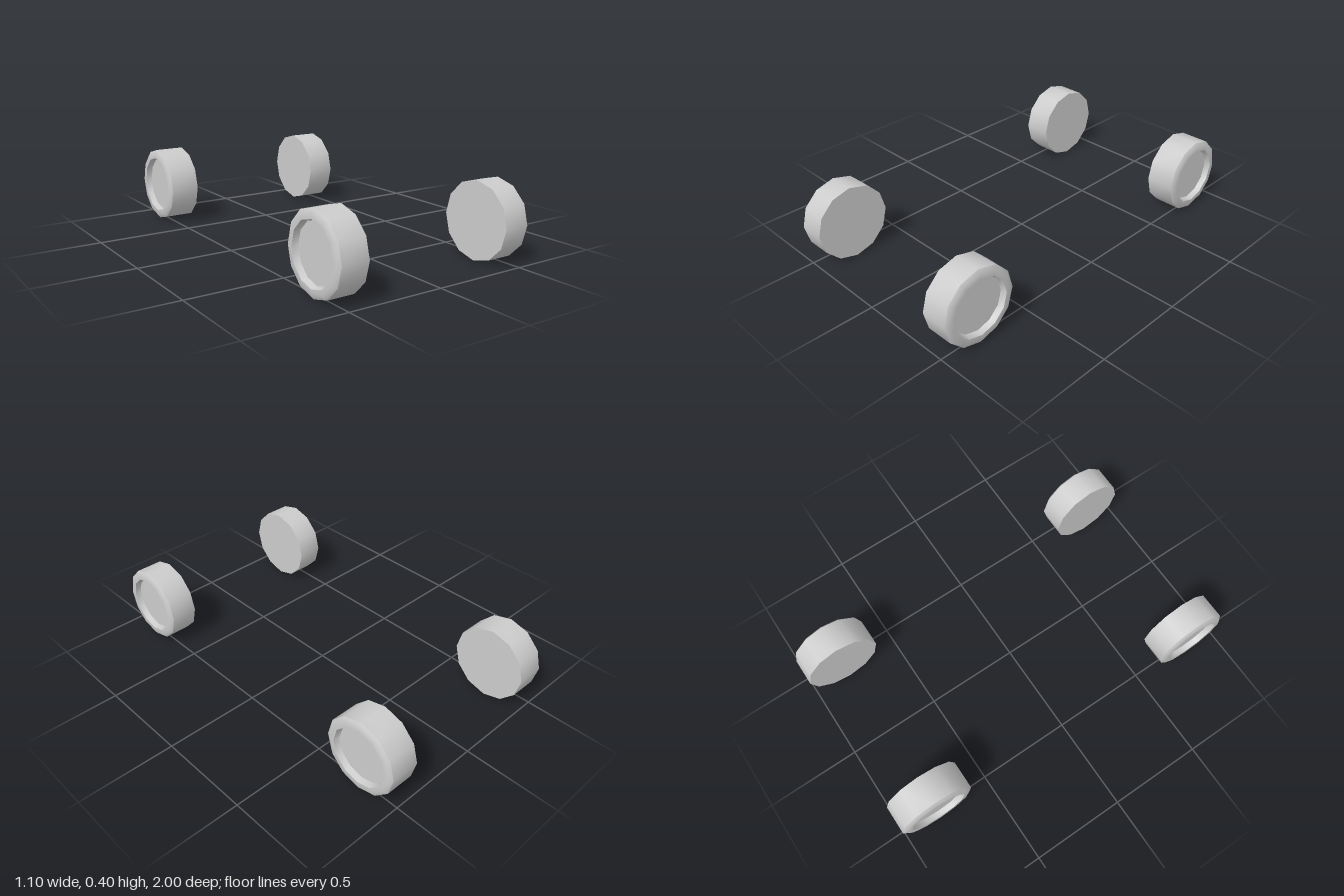
import * as THREE from 'three';
import { toCreasedNormals } from 'three/addons/utils/BufferGeometryUtils.js';

const material = new THREE.MeshStandardMaterial({ color: 0xcccccc });
const RADIUS = 0.2, OUTER = 0.55, SIDES = 12;

// Twelve-sided wheel along +x: flat inner face, bevelled rim, dished hub
function wheelGeometry(inner) {
  const profile = [
    [0, inner], [RADIUS, inner],                // inner face
    [RADIUS, OUTER - 0.012], [0.182, OUTER],    // tread and bevel
    [0.153, OUTER], [0.145, OUTER - 0.03],      // rim and recess wall
    [0, OUTER - 0.03],                          // hub floor
  ].map(([r, x]) => new THREE.Vector2(r, x));
  const geometry = new THREE.LatheGeometry(profile, SIDES);
  geometry.rotateZ(-Math.PI / 2);
  return toCreasedNormals(geometry, 0.7);
}

export function createModel() {
  const model = new THREE.Group();
  model.name = 'wheelSet';

  // The rear pair is slightly wider than the front pair
  const axles = [
    { name: 'front', z: 0.8, inner: 0.398 },
    { name: 'rear', z: -0.8, inner: 0.387 },
  ];
  for (const { name, z, inner } of axles) {
    const geometry = wheelGeometry(inner);
    for (const side of ['Left', 'Right']) {
      const wheel = new THREE.Mesh(geometry, material);
      wheel.name = `${name}${side}Wheel`;
      wheel.position.set(0, RADIUS, z);
      if (side === 'Right') wheel.rotation.y = Math.PI;
      model.add(wheel);
    }
  }
  return model;
}
